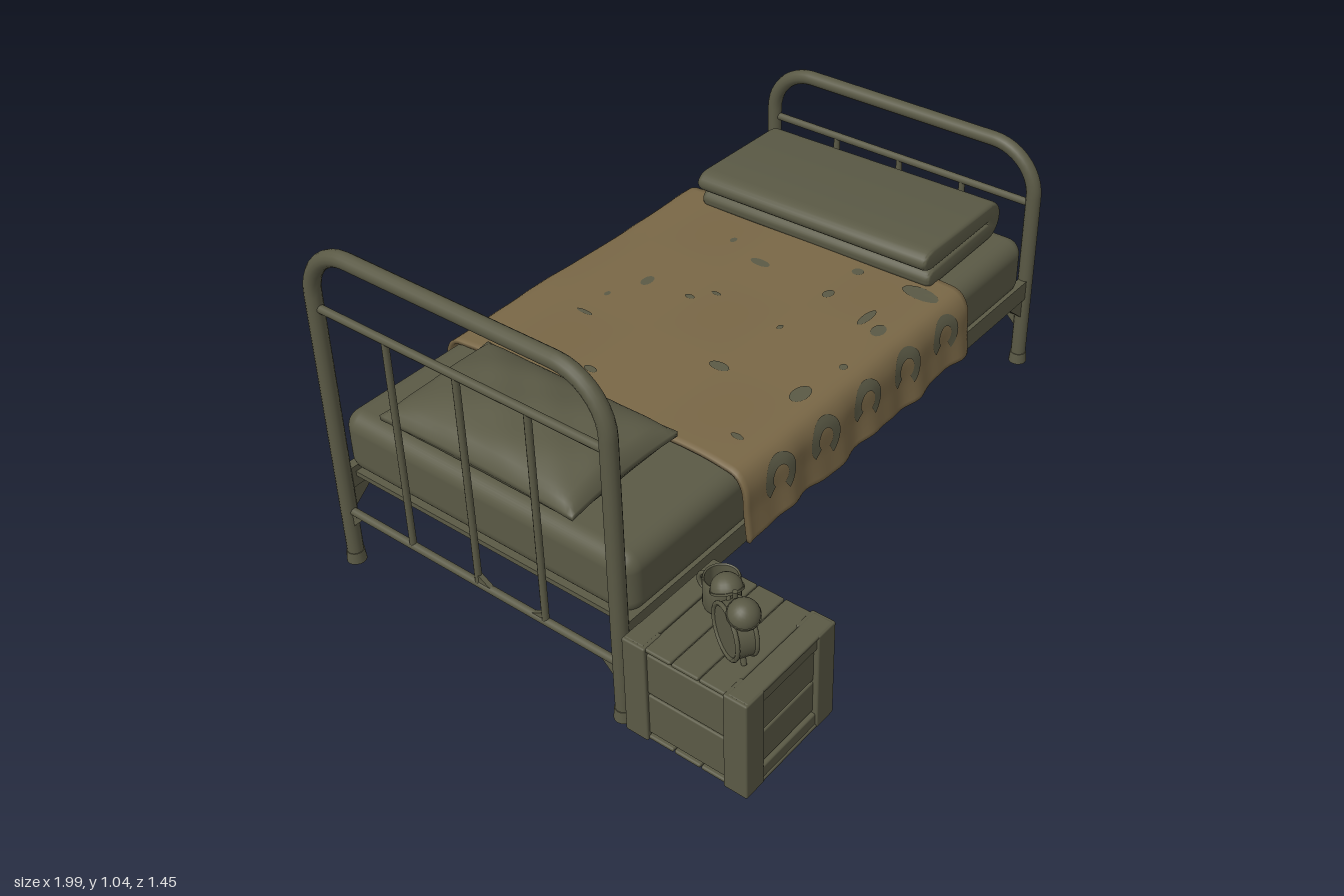
import * as THREE from 'three';
import { mergeVertices, toCreasedNormals } from 'three/addons/utils/BufferGeometryUtils.js';
import { RoundedBoxGeometry } from 'three/addons/geometries/RoundedBoxGeometry.js';

const drab = new THREE.MeshStandardMaterial({ color: 0x5a5945 });
drab.name = 'drab olive';
const brown = new THREE.MeshStandardMaterial({ color: 0x796746 });
brown.name = 'blanket brown';

const HEAD_X = -0.962, FOOT_X = 0.966, FRONT_Z = 0.31, BACK_Z = -0.662;
const MID_Z = (FRONT_Z + BACK_Z) / 2;

function add(parent, name, geometry, material, x = 0, y = 0, z = 0) {
  const mesh = new THREE.Mesh(geometry, material);
  mesh.name = name;
  mesh.position.set(x, y, z);
  parent.add(mesh);
  return mesh;
}

function group(parent, name, x = 0, y = 0, z = 0) {
  const g = new THREE.Group();
  g.name = name;
  g.position.set(x, y, z);
  parent.add(g);
  return g;
}

// Move every vertex by a rule and smooth the result
function warp(geometry, rule) {
  geometry.deleteAttribute('normal');
  geometry.deleteAttribute('uv');
  const g = mergeVertices(geometry);
  const p = g.attributes.position, v = new THREE.Vector3();
  for (let i = 0; i < p.count; i++) {
    v.fromBufferAttribute(p, i);
    rule(v);
    p.setXYZ(i, v.x, v.y, v.z);
  }
  g.computeVertexNormals();
  return g;
}

// Triangular corner plate, in the x-y plane or the z-y plane
function gusset(parent, x, y, z, dx, dy, alongZ = false) {
  const s = new THREE.Shape([[0, 0], [dx, 0], [0, dy]].map(p => new THREE.Vector2(...p)));
  const g = new THREE.ExtrudeGeometry(s, { depth: 0.014, bevelEnabled: false });
  g.translate(0, 0, -0.007);
  if (alongZ) g.rotateY(-Math.PI / 2);
  add(parent, 'gusset', g, drab, x, y, z);
}

// Bent tube end frame with cross bars and uprights
function endFrame(parent, name, x, top, barY) {
  const g = group(parent, name, x);
  const r = 0.15, k = r * 0.45, P = (y, z) => new THREE.Vector3(0, y, z);
  const path = new THREE.CurvePath();
  path.add(new THREE.LineCurve3(P(0.01, FRONT_Z), P(top - r, FRONT_Z)));
  path.add(new THREE.CubicBezierCurve3(P(top - r, FRONT_Z), P(top - k, FRONT_Z), P(top, FRONT_Z - k), P(top, FRONT_Z - r)));
  path.add(new THREE.LineCurve3(P(top, FRONT_Z - r), P(top, BACK_Z + r)));
  path.add(new THREE.CubicBezierCurve3(P(top, BACK_Z + r), P(top, BACK_Z + k), P(top - k, BACK_Z), P(top - r, BACK_Z)));
  path.add(new THREE.LineCurve3(P(top - r, BACK_Z), P(0.01, BACK_Z)));
  add(g, 'bentTube', new THREE.TubeGeometry(path, 110, 0.023, 14), drab);
  for (const z of [FRONT_Z, BACK_Z]) {
    add(g, 'foot', new THREE.CylinderGeometry(0.025, 0.028, 0.035, 16), drab, 0, 0.0175, z);
    const s = z > 0 ? -1 : 1;
    gusset(g, 0, 0.175, z, s * 0.065, -0.065, true);
  }
  for (const y of [0.178, barY]) {
    const bar = new THREE.CylinderGeometry(0.012, 0.012, FRONT_Z - BACK_Z, 10).rotateX(Math.PI / 2);
    add(g, 'crossBar', bar, drab, 0, y, MID_Z);
  }
  for (const z of [0.06, -0.172, -0.412]) {
    const h = barY - 0.178;
    add(g, 'upright', new THREE.CylinderGeometry(0.01, 0.01, h, 10), drab, 0, 0.178 + h / 2, z);
  }
  gusset(g, 0, 0.185, 0.06, -0.045, 0.025, true);
  gusset(g, 0, 0.185, -0.172, 0.05, 0.03, true);
}

// Path of the blanket from front hem, over the mattress, to back hem
const drape = new THREE.CatmullRomCurve3(
  [[0.285, 0.357], [0.36, 0.348], [0.44, 0.34], [0.475, 0.315], [0.484, 0.26], [0.484, 0], [0.484, -0.35],
    [0.484, -0.62], [0.475, -0.675], [0.44, -0.7], [0.36, -0.708], [0.285, -0.718]]
    .map(([y, z]) => new THREE.Vector3(0, y, z)), false, 'centripetal');
const DRAPE_LENGTH = drape.getLength();

// x across, y along the path, z outward
function layOnDrape(v) {
  const t = THREE.MathUtils.clamp(v.y / DRAPE_LENGTH, 0, 1);
  const p = drape.getPointAt(t), d = drape.getTangentAt(t);
  const fall = THREE.MathUtils.clamp((0.484 - p.y) / 0.19, 0, 1);
  const ripple = fall * (0.006 * Math.sin(v.x * 30) + 0.003 * Math.sin(v.x * 53 + 1));
  const lump = (1 - fall) * 0.003 * Math.sin(v.x * 9) * Math.sin(p.z * 11);
  const off = v.z + ripple + lump;
  const hem = fall * 0.007 * Math.sin(v.x * 17 + p.z * 3);
  const side = 0.006 * Math.sin(p.z * 12) * Math.abs(v.x);
  v.set(v.x + 0.02 + side, p.y - d.z * off + hem, p.z + d.y * off);
}

function blanket(parent) {
  const g = group(parent, 'blanket');
  const sheet = new THREE.BoxGeometry(1.06, DRAPE_LENGTH, 0.012, 60, 110, 1);
  sheet.translate(0, DRAPE_LENGTH / 2, 0);
  add(g, 'blanketSheet', warp(sheet, layOnDrape), brown);
  // Row of open rings on both hanging sides
  for (const [v, turn] of [[0.12, -1.1], [DRAPE_LENGTH - 0.12, 2]]) {
    for (let i = 0; i < 5; i++) {
      const ring = new THREE.RingGeometry(0.03, 0.062, 28, 3, turn, 5.0);
      ring.translate(-0.39 + i * 0.198, v, 0.0085);
      add(g, 'ringPattern', warp(ring, layOnDrape), drab);
    }
  }
  // Small faded patches on the top
  const patches = [[-0.4, -0.3, 0.012, 0.022], [-0.2, -0.5, 0.008, 0.028], [-0.09, -0.51, 0.012, 0.008],
    [0.03, -0.46, 0.026, 0.016], [0.04, -0.31, 0.01, 0.016], [0.1, -0.26, 0.008, 0.016], [0.31, -0.26, 0.016, 0.034],
    [-0.18, -0.03, 0.018, 0.032], [0.07, -0.01, 0.012, 0.008], [0.29, 0, 0.022, 0.016], [0.44, 0, 0.018, 0.018],
    [-0.15, 0.22, 0.04, 0.025], [0.02, 0.24, 0.014, 0.012], [0.22, 0.22, 0.03, 0.02], [0.25, 0.16, 0.045, 0.014],
    [0.45, 0.21, 0.03, 0.06], [0.36, -0.4, 0.014, 0.01], [-0.4, 0.2, 0.01, 0.02]];
  for (const [x, z, rx, rz] of patches) {
    const dot = new THREE.CircleGeometry(1, 14);
    dot.scale(rx, rz, 1).translate(x - 0.02, 0.484 - z, 0.0085);
    add(g, 'fadedPatch', warp(dot, layOnDrape), drab);
  }
}

function pillow(parent) {
  const g = warp(new THREE.BoxGeometry(2, 2, 2, 28, 2, 36), v => {
    const { x, z } = v;
    const puff = Math.pow((1 - Math.abs(x) ** 2.4) * (1 - Math.abs(z) ** 4), 0.55);
    const crease = 1 + 0.05 * Math.sin(x * 7 + z * 3) * Math.sin(z * 9);
    v.set(x * 0.198 * (1 - 0.05 * (1 - z * z)), v.y * (0.008 + 0.064 * puff * crease), z * 0.33 * (1 - 0.035 * (1 - x * x)));
  });
  add(parent, 'pillow', g, drab, -0.735, 0.543, -0.18).rotation.z = 0.03;
}

// Thick blanket folded once, with the fold toward the foot end
function foldedBlanket(parent) {
  const s = new THREE.Shape();
  s.moveTo(-0.15, -0.058);
  s.lineTo(0.17, -0.058);
  s.absarc(0.17, 0, 0.058, -Math.PI / 2, Math.PI / 2, false);
  s.lineTo(-0.16, 0.066);
  s.bezierCurveTo(-0.225, 0.066, -0.225, 0.006, -0.16, 0.006);
  s.lineTo(0.16, 0.005);
  s.lineTo(0.16, -0.005);
  s.lineTo(-0.15, -0.005);
  s.bezierCurveTo(-0.195, -0.005, -0.195, -0.058, -0.15, -0.058);
  const g = new THREE.ExtrudeGeometry(s, { depth: 0.79, bevelThickness: 0.016, bevelSize: 0.01, bevelOffset: -0.006, bevelSegments: 3, curveSegments: 12 });
  g.translate(0, 0, -0.395);
  add(parent, 'foldedBlanket', toCreasedNormals(g, 0.8), drab, 0.67, 0.54, -0.172).rotation.y = 0.02;
}

function crate(parent) {
  const g = group(parent, 'crate', -0.822, 0.163, 0.533);
  const box = (name, w, h, d, x, y, z) => add(g, name, new RoundedBoxGeometry(w, h, d, 2, 0.005), drab, x, y, z);
  box('crateCore', 0.315, 0.29, 0.335, 0, 0, 0);
  for (const sx of [-1, 1]) {
    for (const sz of [-1, 1]) box('cornerPost', 0.07, 0.306, 0.07, sx * 0.142, 0, sz * 0.152);
    for (const sy of [-1, 1]) box('sidePlank', 0.02, 0.128, 0.24, sx * 0.157, sy * 0.067, 0);
  }
  for (const sz of [-1, 1]) for (const sy of [-1, 1]) {
    box('endRail', 0.24, 0.045, 0.022, 0, sy * 0.13, sz * 0.17);
    box('endPlank', 0.22, 0.1, 0.014, 0, sy * 0.053, sz * 0.166);
    box('endBatten', 0.34, 0.012, 0.06, 0, sy * 0.148, sz * 0.155);
  }
  for (const sy of [-1, 1]) for (let i = -1; i <= 1; i++) {
    box('lidPlank', 0.34, 0.012, 0.08, 0, sy * 0.145, i * 0.083);
  }
}

function alarmClock(parent) {
  const g = group(parent, 'alarmClock', -0.87, 0.389, 0.59);
  g.rotation.y = 1.08;
  add(g, 'clockBody', new THREE.CylinderGeometry(0.07, 0.07, 0.05, 28).rotateX(Math.PI / 2), drab);
  for (const z of [-0.025, 0.025]) add(g, 'clockRim', new THREE.TorusGeometry(0.069, 0.006, 8, 28), drab, 0, 0, z);
  for (const s of [-1, 1]) {
    const bell = group(g, 'bell', s * 0.047, 0.085, 0);
    bell.rotation.z = -s * 0.4;
    add(bell, 'bellDome', new THREE.SphereGeometry(0.04, 18, 8, 0, Math.PI * 2, 0, Math.PI / 2), drab);
    add(bell, 'bellBase', new THREE.CylinderGeometry(0.042, 0.042, 0.006, 18), drab);
    add(bell, 'bellStem', new THREE.CylinderGeometry(0.006, 0.006, 0.04, 8), drab, 0, -0.018, 0);
    add(g, 'clockFoot', new THREE.CylinderGeometry(0.009, 0.007, 0.03, 8), drab, s * 0.042, -0.06, 0).rotation.z = s * 0.4;
  }
  add(g, 'hammer', new THREE.CylinderGeometry(0.007, 0.005, 0.05, 8), drab, 0, 0.09, 0);
}

function mug(parent) {
  const g = group(parent, 'mug', -0.762, 0.318, 0.465);
  const profile = [[0, 0], [0.046, 0], [0.048, 0.006], [0.048, 0.084], [0.046, 0.088], [0.042, 0.085], [0.041, 0.012], [0, 0.012]];
  add(g, 'mugCup', toCreasedNormals(new THREE.LatheGeometry(profile.map(p => new THREE.Vector2(...p)), 28), 0.7), drab);
  const handle = new THREE.TorusGeometry(0.026, 0.006, 8, 16, Math.PI).rotateZ(-Math.PI / 2).rotateY(Math.PI / 2);
  add(g, 'mugHandle', handle, drab, 0, 0.045, -0.045);
}

export function createModel() {
  const model = new THREE.Group();
  model.name = 'bedroomSet';
  const bed = group(model, 'bed');

  endFrame(bed, 'headFrame', HEAD_X, 1.022, 0.834);
  endFrame(bed, 'footFrame', FOOT_X, 0.75, 0.575);

  // Side rails with plates down to the legs
  for (const z of [FRONT_Z, BACK_Z]) {
    add(bed, 'sideRail', new THREE.BoxGeometry(FOOT_X - HEAD_X, 0.065, 0.028), drab, 0, 0.278, z);
    gusset(bed, FOOT_X, 0.25, z, -0.11, -0.09);
    gusset(bed, HEAD_X, 0.25, z, 0.11, -0.09);
  }
  add(bed, 'basePanel', new THREE.BoxGeometry(1.86, 0.015, BACK_Z * -1 + FRONT_Z), drab, 0, 0.285, MID_Z);

  add(bed, 'mattress', new RoundedBoxGeometry(1.86, 0.19, 1.0, 5, 0.05), drab, 0, 0.382, -0.182);
  blanket(bed);
  pillow(bed);
  foldedBlanket(bed);

  crate(model);
  alarmClock(model);
  mug(model);
  return model;
}
